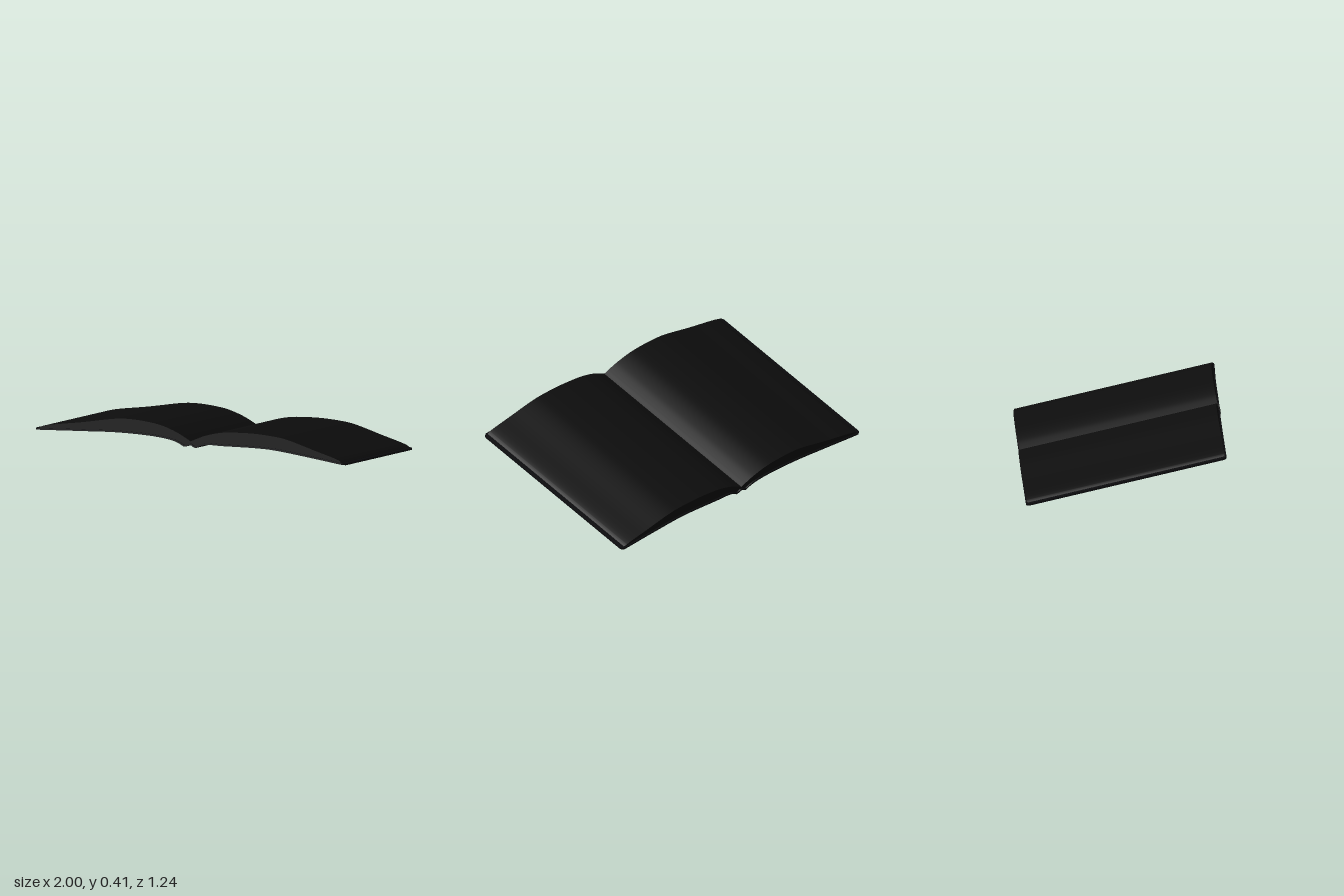
import * as THREE from 'three';
import { toCreasedNormals } from 'three/addons/utils/BufferGeometryUtils.js';

// Solid lofted along x through rows of [x, bottom, top], with rounded outer corners in plan
function loft(rows, halfLength, outerX, radius, steps) {
  const curve = new THREE.CatmullRomCurve3(rows.map(r => new THREE.Vector3(...r)), false, 'centripetal');
  const rings = curve.getPoints((rows.length - 1) * steps).map(p => {
    const d = THREE.MathUtils.clamp(Math.abs(p.x) - (outerX - radius), 0, radius);
    const h = halfLength - (radius - Math.sqrt(radius * radius - d * d));
    return [[p.x, p.y, -h], [p.x, p.y, h], [p.x, p.z, h], [p.x, p.z, -h]];
  });
  const pos = [];
  const quad = (a, b, c, d) => pos.push(...a, ...b, ...c, ...a, ...c, ...d);
  for (let i = 0; i < rings.length - 1; i++) {
    const r = rings[i], s = rings[i + 1];
    for (let k = 0; k < 4; k++) quad(r[k], s[k], s[(k + 1) % 4], r[(k + 1) % 4]);
  }
  const [a, b, c, d] = rings[0];
  quad(a, b, c, d);
  const [e, f, g, h] = rings[rings.length - 1];
  quad(e, h, g, f);
  const geo = new THREE.BufferGeometry();
  geo.setAttribute('position', new THREE.Float32BufferAttribute(pos, 3));
  return toCreasedNormals(geo, 0.6);
}

export function createModel() {
  const coverBlack = new THREE.MeshStandardMaterial({ color: 0x0b0b0d });
  coverBlack.name = 'coverBlack';
  const pageBlack = new THREE.MeshStandardMaterial({ color: 0x0d0d0d });
  pageBlack.name = 'pageBlack';

  const book = new THREE.Group();
  book.name = 'openBook';
  const add = (name, geo, mat) => {
    const mesh = new THREE.Mesh(geo, mat);
    mesh.name = name;
    book.add(mesh);
  };

  // Underside heights of the cover, with the two ridges of the spine in the middle
  const under = [
    [-1, 0], [-0.993, 0.001], [-0.975, 0.002], [-0.7, 0.024], [-0.45, 0.042], [-0.2, 0.041],
    [-0.1, 0.027], [-0.06, 0.012], [-0.037, 0.001], [-0.02, 0.006], [0, 0.015],
    [0.02, 0.006], [0.037, 0.001], [0.06, 0.014], [0.1, 0.027], [0.2, 0.031],
    [0.5, 0.043], [0.7, 0.029], [0.975, 0.002], [0.993, 0.001], [1, 0],
  ];
  add('cover', loft(under.map(([x, y]) => [x, y, y + 0.011]), 0.625, 1, 0.025, 5), coverBlack);

  // Page blocks, arched on each side of the gutter
  const leftPages = [
    [0, 0.02, 0.037], [0.04, 0.011, 0.058], [0.1, 0.032, 0.085], [0.2, 0.036, 0.112],
    [0.3, 0.04, 0.123], [0.4, 0.044, 0.128], [0.5, 0.048, 0.126], [0.6, 0.042, 0.117],
    [0.8, 0.024, 0.067], [0.955, 0.009, 0.026], [0.977, 0.007, 0.014],
  ];
  const rightPages = [
    [-0.977, 0.007, 0.014], [-0.955, 0.009, 0.027], [-0.7, 0.029, 0.078], [-0.48, 0.044, 0.124],
    [-0.4, 0.047, 0.13], [-0.3, 0.047, 0.127], [-0.2, 0.046, 0.115], [-0.1, 0.032, 0.085],
    [-0.04, 0.011, 0.058], [0, 0.02, 0.037],
  ];
  add('leftPages', loft(leftPages, 0.617, 0.98, 0.015, 5), pageBlack);
  add('rightPages', loft(rightPages, 0.617, 0.98, 0.015, 5), pageBlack);

  // Lean the book so that its front edge is raised
  book.rotation.x = -0.2295;
  book.position.set(0, 0.1425, 0.01);

  const model = new THREE.Group();
  model.name = 'model';
  model.add(book);
  return model;
}
